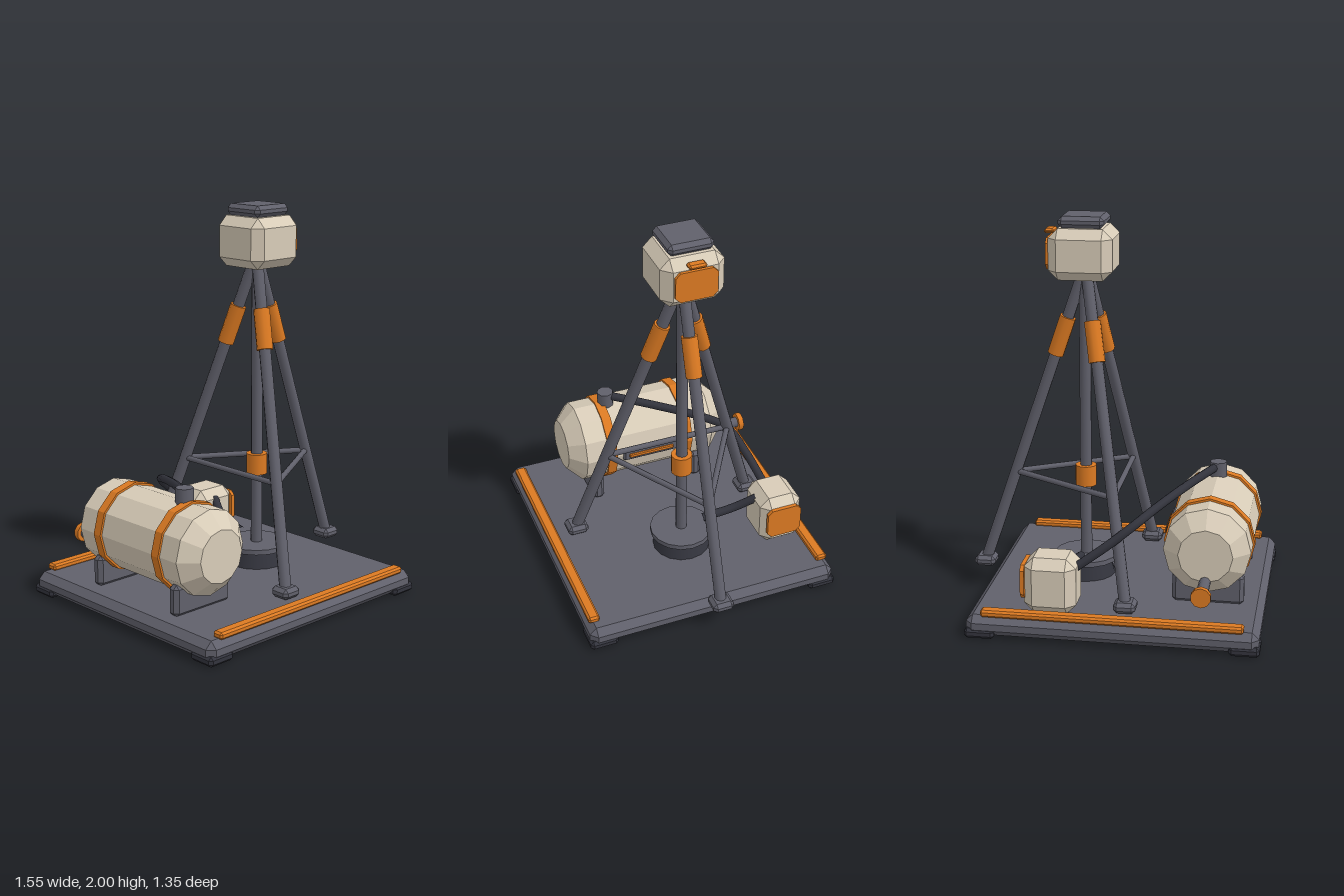
import * as THREE from 'three';
import { ConvexGeometry } from 'three/addons/geometries/ConvexGeometry.js';

const material = (name, color) => {
  const m = new THREE.MeshStandardMaterial({ color });
  m.name = name;
  return m;
};

export function createModel() {
  const model = new THREE.Group();
  model.name = 'surveyStation';
  const grey = material('steel grey', 0x60606b);
  const dark = material('dark rubber', 0x33343d);
  const cream = material('cream', 0xd8ccb8);
  const orange = material('orange', 0xdc7a22);
  const V = (x, y, z) => new THREE.Vector3(x, y, z);

  const add = (name, geometry, mat, x = 0, y = 0, z = 0) => {
    const mesh = new THREE.Mesh(geometry, mat);
    mesh.name = name;
    mesh.position.set(x, y, z);
    model.add(mesh);
    return mesh;
  };

  // Box with all edges chamfered by c
  const chamferBox = (w, h, d, c) => {
    const pts = [];
    for (const sx of [-1, 1]) for (const sy of [-1, 1]) for (const sz of [-1, 1]) {
      const x = w / 2, y = h / 2, z = d / 2;
      pts.push(V(sx * x, sy * (y - c), sz * (z - c)));
      pts.push(V(sx * (x - c), sy * y, sz * (z - c)));
      pts.push(V(sx * (x - c), sy * (y - c), sz * z));
    }
    return new ConvexGeometry(pts);
  };
  const block = (name, mat, [x, y, z], [w, h, d], c) =>
    add(name, chamferBox(w, h, d, c), mat, x, y, z);

  // Round bar between two points
  const bar = (name, mat, a, b, r, sides = 10) => {
    const mesh = add(name, new THREE.CylinderGeometry(r, r, a.distanceTo(b), sides), mat);
    mesh.position.copy(a).lerp(b, 0.5);
    mesh.quaternion.setFromUnitVectors(V(0, 1, 0), b.clone().sub(a).normalize());
    return mesh;
  };

  const faceted = (geometry) => {
    const g = geometry.toNonIndexed();
    g.computeVertexNormals();
    return g;
  };

  // Platform, corner pads and edge rails
  const baseX = -0.055;
  block('platform', grey, [baseX, 0.0625, 0], [1.44, 0.105, 1.34], 0.035);
  for (const sx of [-1, 1]) for (const sz of [-1, 1]) {
    block('cornerPad', dark, [baseX + sx * 0.65, 0.025, sz * 0.602], [0.15, 0.05, 0.146], 0.015);
  }
  for (const s of [-1, 1]) {
    block('edgeRail', orange, [baseX, 0.128, s * 0.63], [1.29, 0.036, 0.06], 0.01);
  }

  // Tripod legs with feet, grip sleeves and cross braces
  const apex = V(0.172, 1.75, 0);
  const feet = [V(0.718, 0.15, 0), V(-0.105, 0.15, 0.492), V(-0.105, 0.15, -0.492)];
  const atHeight = (foot, y) => foot.clone().lerp(apex, (y - foot.y) / (apex.y - foot.y));
  feet.forEach((foot, i) => {
    const next = feet[(i + 1) % 3];
    bar('tripodLeg', grey, foot, apex, 0.03);
    bar('legSleeve', orange, atHeight(foot, 1.285), atHeight(foot, 1.48), 0.042);
    bar('crossBrace', grey, atHeight(foot, 0.65), atHeight(next, 0.65), 0.015, 8);
    block('tripodFoot', grey, [foot.x, 0.15, foot.z], [0.11, 0.055, 0.11], 0.018);
  });

  // Central mast on its pedestal
  const mastX = 0.178;
  add('pedestal', new THREE.CylinderGeometry(0.125, 0.152, 0.09, 16), dark, mastX, 0.157, 0);
  add('pedestalDisc', new THREE.CylinderGeometry(0.165, 0.165, 0.026, 16), grey, mastX, 0.211, 0);
  bar('mast', grey, V(mastX, 0.2, 0), V(mastX, 1.72, 0), 0.03);
  bar('mastCollar', orange, V(mastX, 0.597, 0), V(mastX, 0.705, 0), 0.055, 12);

  // Instrument head
  block('head', cream, [0.18, 1.814, 0], [0.32, 0.255, 0.32], 0.048);
  block('headCap', grey, [0.178, 1.971, 0], [0.23, 0.058, 0.23], 0.02);
  const panelShape = (w, h, c) => {
    const s = new THREE.Shape();
    const x = w / 2, y = h / 2;
    s.setFromPoints([[-x, c - y], [c - x, -y], [x - c, -y], [x, c - y], [x, y - c], [x - c, y], [c - x, y], [-x, y - c]]
      .map(([px, py]) => new THREE.Vector2(px, py)));
    return s;
  };
  const sidePanel = (name, x, y, z, w, h) => {
    const g = new THREE.ExtrudeGeometry(panelShape(w, h, 0.025), { depth: 0.02, bevelEnabled: false });
    add(name, g, orange, x, y, z).rotation.y = Math.PI / 2;
  };
  sidePanel('headPanel', 0.335, 1.813, 0, 0.212, 0.155);
  block('headLatch', orange, [0.348, 1.917, 0], [0.05, 0.024, 0.09], 0.009);

  // Tank lying along z, with bands and saddles
  const tx = -0.49, ty = 0.41;
  const profile = [[0, -0.44], [0.135, -0.44], [0.218, -0.36], [0.218, 0.36], [0.135, 0.44], [0, 0.44]]
    .map(([r, y]) => new THREE.Vector2(r, y));
  add('tank', faceted(new THREE.LatheGeometry(profile, 12)), cream, tx, ty, 0).rotation.x = Math.PI / 2;
  for (const s of [-1, 1]) {
    const band = faceted(new THREE.CylinderGeometry(0.229, 0.229, 0.05, 12));
    add('tankBand', band, orange, tx, ty, s * 0.217).rotation.x = Math.PI / 2;
    block('tankSaddle', grey, [tx - 0.003, 0.19, s * 0.287], [0.36, 0.16, 0.065], 0.02);
  }

  // Gauge strip, filler neck and outlet on the tank
  block('gaugePlate', grey, [-0.277, 0.408, 0], [0.035, 0.066, 0.315], 0.01);
  block('gaugeStrip', orange, [-0.259, 0.408, 0], [0.018, 0.024, 0.255], 0.005);
  bar('fillerNeck', grey, V(tx, 0.59, 0.18), V(tx, 0.697, 0.18), 0.045, 8);
  bar('outletPipe', grey, V(tx, 0.275, -0.34), V(tx, 0.275, -0.62), 0.029);
  bar('outletCap', orange, V(tx, 0.275, -0.607), V(tx, 0.275, -0.635), 0.05);

  // Pump box
  block('pumpBox', cream, [0.257, 0.259, -0.495], [0.26, 0.285, 0.228], 0.048);
  sidePanel('pumpPanel', 0.382, 0.275, -0.495, 0.188, 0.172);

  // Hoses
  const hose = (name, pts) => {
    const curve = new THREE.CatmullRomCurve3(pts.map((p) => V(...p)));
    add(name, new THREE.TubeGeometry(curve, 24, 0.022, 8), dark);
  };
  hose('tankHose', [[-0.49, 0.675, 0.18], [-0.35, 0.635, -0.06], [-0.22, 0.585, -0.285],
    [-0.14, 0.54, -0.395], [-0.02, 0.45, -0.45], [0.15, 0.33, -0.495]]);
  hose('mastHose', [[0.25, 0.35, -0.4], [0.205, 0.28, -0.285], [0.185, 0.247, -0.12]]);

  return model;
}
